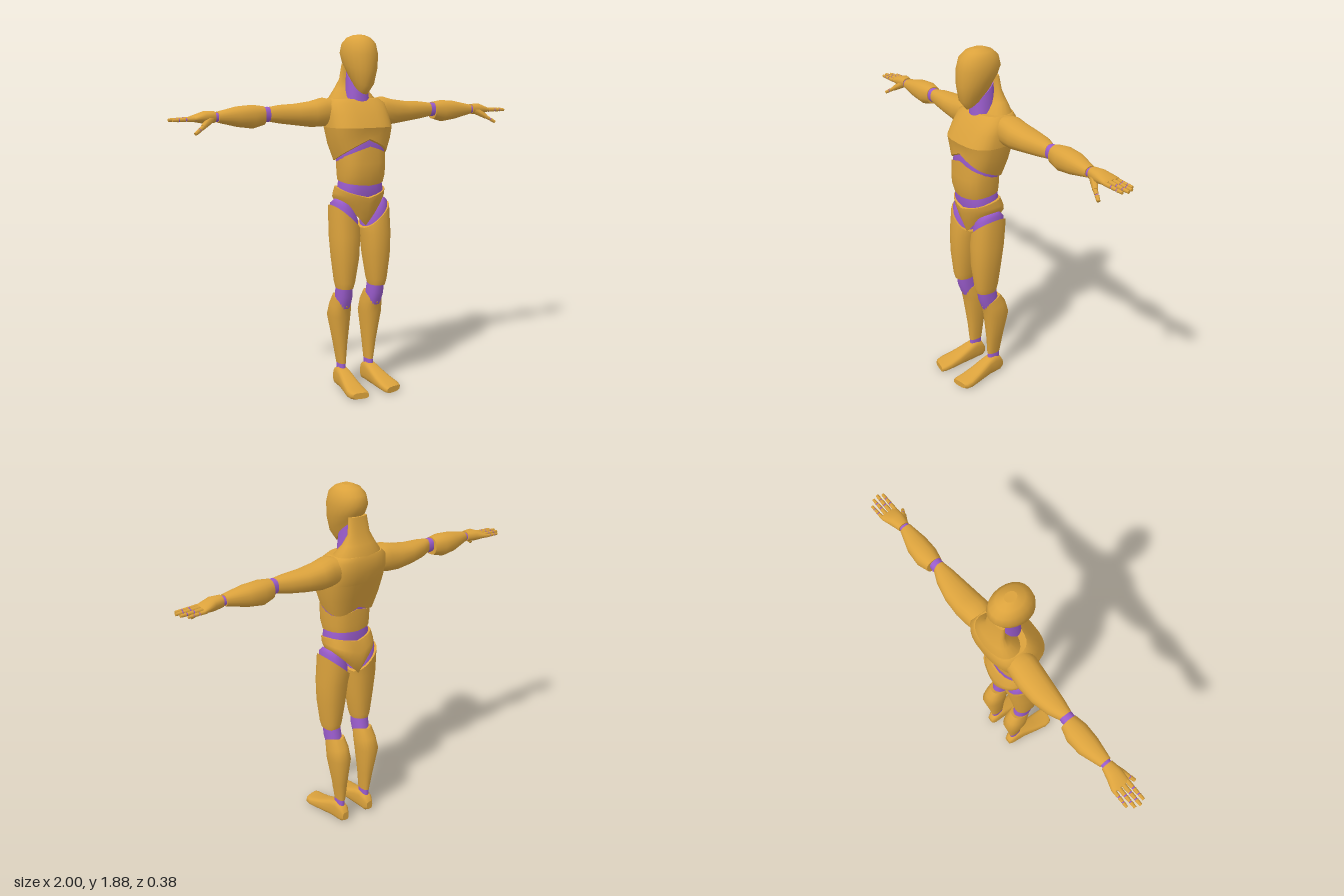
import * as THREE from 'three';

const gold = new THREE.MeshStandardMaterial({ name: 'gold', color: 0xdba23c });
const purple = new THREE.MeshStandardMaterial({ name: 'purple', color: 0x9a5ccc });

// Axis order for the two cross-section directions (a, b) around the length t.
const AXES = {
  x: (t, a, b) => [t, b, a], // a = z, b = y
  y: (t, a, b) => [a, t, b], // a = x, b = z
  z: (t, a, b) => [b, a, t], // a = y, b = x
};

// Closed loft through rings [t, aMin, aMax, bMin, bMax, slopeA, slopeB, bend], ascending t.
// Slopes tilt a ring; bend lifts its two a-sides relative to the middle.
function loft(axis, rings, power = 2.3, sides = 20) {
  const pos = [], index = [], loops = [];
  const curve = (v) => Math.sign(v) * Math.abs(v) ** (2 / power);
  for (const [t, a0, a1, b0, b1, slopeA = 0, slopeB = 0, bend = 0] of rings) {
    const loop = [];
    for (let j = 0; j < sides; j++) {
      const ang = (j / sides) * Math.PI * 2;
      const u = curve(Math.cos(ang)), v = curve(Math.sin(ang));
      const da = (u * (a1 - a0)) / 2, db = (v * (b1 - b0)) / 2;
      loop.push(AXES[axis](t + slopeA * da + slopeB * db + bend * Math.abs(u), (a0 + a1) / 2 + da, (b0 + b1) / 2 + db));
    }
    loops.push(loop);
    pos.push(...loop.flat());
  }
  for (let i = 0; i < rings.length - 1; i++) {
    for (let j = 0; j < sides; j++) {
      const p = i * sides + j, q = i * sides + ((j + 1) % sides);
      index.push(p, p + sides, q, q, p + sides, q + sides);
    }
  }
  // End caps with their own vertices, so their rims stay sharp
  [loops[0], loops[loops.length - 1]].forEach((loop, end) => {
    const start = pos.length / 3;
    pos.push(...loop.flat());
    pos.push(...[0, 1, 2].map((k) => loop.reduce((s, p) => s + p[k], 0) / sides));
    for (let j = 0; j < sides; j++) {
      const p = start + j, q = start + ((j + 1) % sides);
      index.push(start + sides, ...(end ? [q, p] : [p, q]));
    }
  });
  const geo = new THREE.BufferGeometry();
  geo.setAttribute('position', new THREE.Float32BufferAttribute(pos, 3));
  geo.setIndex(index);
  geo.computeVertexNormals();
  return geo;
}

// Tapered rod between two points
function rod(p, q, r0, r1) {
  const dir = q.clone().sub(p);
  const geo = new THREE.CylinderGeometry(r1, r0, dir.length(), 8);
  geo.applyQuaternion(new THREE.Quaternion().setFromUnitVectors(new THREE.Vector3(0, 1, 0), dir.normalize()));
  const mid = p.clone().add(q).multiplyScalar(0.5);
  return geo.translate(mid.x, mid.y, mid.z);
}

function mirrored(geo) {
  const copy = geo.clone().scale(-1, 1, 1);
  const idx = copy.index.array;
  for (let i = 0; i < idx.length; i += 3) [idx[i], idx[i + 1]] = [idx[i + 1], idx[i]];
  return copy;
}

export function createModel() {
  const model = new THREE.Group();
  model.name = 'jointedFigure';
  const add = (name, geo, mat = gold) => {
    const mesh = new THREE.Mesh(geo, mat);
    mesh.name = name;
    model.add(mesh);
  };
  const pair = (name, geo, mat = gold) => {
    add(name + 'Left', geo, mat);
    add(name + 'Right', mirrored(geo), mat);
  };

  // Head and neck
  add('head', loft('y', [
    [1.645, -0.04, 0.04, -0.1, 0.055, 0, -0.8], [1.68, -0.064, 0.064, -0.105, 0.09, 0, -0.55],
    [1.73, -0.082, 0.082, -0.118, 0.103, 0, -0.2], [1.79, -0.09, 0.09, -0.136, 0.1, 0, -0.05],
    [1.84, -0.081, 0.081, -0.124, 0.085], [1.87, -0.058, 0.058, -0.09, 0.05], [1.884, -0.025, 0.025, -0.05, 0.012],
  ], 2.1));
  add('neck', loft('y', [
    [1.48, -0.066, 0.066, -0.1, 0.028], [1.57, -0.06, 0.06, -0.1, 0.022],
    [1.67, -0.05, 0.05, -0.1, 0.02, 0, -0.8],
  ]), purple);
  add('upperBack', loft('y', [
    [1.5, -0.155, 0.155, -0.184, 0.01], [1.56, -0.13, 0.13, -0.176, -0.02], [1.61, -0.092, 0.092, -0.158, -0.06],
    [1.66, -0.064, 0.064, -0.134, -0.085], [1.74, -0.055, 0.055, -0.118, -0.08],
  ]));

  // Torso: the doubled ring makes the sharp edge under the chest
  add('chest', loft('y', [
    [1.315, -0.135, 0.135, -0.115, 0.1, 0, 0.4, -0.055], [1.36, -0.163, 0.163, -0.138, 0.1, 0, 0.2, -0.02],
    [1.415, -0.175, 0.175, -0.165, 0.108], [1.415, -0.175, 0.175, -0.165, 0.108],
    [1.48, -0.172, 0.172, -0.186, 0.075], [1.535, -0.165, 0.165, -0.184, 0.035], [1.56, -0.135, 0.135, -0.175, 0.01],
  ], 2.8, 28));
  add('ribJoint', loft('y', [
    [1.2, -0.115, 0.115, -0.095, 0.085], [1.28, -0.128, 0.128, -0.104, 0.096, 0, 0.3, -0.03],
    [1.33, -0.125, 0.125, -0.1, 0.09, 0, 0.4, -0.055],
  ], 2.6), purple);
  add('abdomen', loft('y', [
    [1.125, -0.118, 0.118, -0.104, 0.092, 0, -0.1, 0.01], [1.17, -0.124, 0.124, -0.106, 0.106],
    [1.23, -0.127, 0.127, -0.106, 0.108], [1.288, -0.127, 0.127, -0.106, 0.104, 0, 0.3, -0.035],
  ], 2.6));
  add('waistJoint', loft('y', [
    [1.03, -0.118, 0.118, -0.1, 0.075], [1.09, -0.121, 0.121, -0.103, 0.088], [1.14, -0.112, 0.112, -0.1, 0.085],
  ], 2.6), purple);
  add('pelvis', loft('y', [
    [0.9, -0.13, 0.13, -0.115, 0.055, 0, 0, 0.14], [0.955, -0.136, 0.136, -0.138, 0.075, 0, 0, 0.1],
    [1.02, -0.137, 0.137, -0.134, 0.09, 0, 0, 0.05], [1.065, -0.134, 0.134, -0.112, 0.092, 0, -0.15, 0.035],
  ], 2.4, 28));

  // Legs
  pair('hipJoint', loft('y', [
    [0.9, 0.022, 0.155, -0.1, 0.065, 0.8], [0.975, 0.025, 0.155, -0.1, 0.065, 0.8], [1.01, 0.04, 0.135, -0.08, 0.045, 0.7],
  ]), purple);
  pair('thigh', loft('y', [
    [0.565, 0.056, 0.14, -0.058, 0.056], [0.6, 0.047, 0.148, -0.068, 0.066], [0.73, 0.025, 0.164, -0.084, 0.081],
    [0.85, 0.016, 0.17, -0.1, 0.083], [0.945, 0.014, 0.166, -0.112, 0.074, 0.9],
  ]));
  pair('kneeJoint', loft('y', [
    [0.45, 0.055, 0.133, -0.085, 0.015], [0.52, 0.053, 0.137, -0.07, 0.042], [0.6, 0.058, 0.136, -0.055, 0.05],
  ]), purple);
  pair('shin', loft('y', [
    [0.13, 0.066, 0.106, -0.104, -0.026], [0.24, 0.056, 0.124, -0.118, -0.018], [0.4, 0.039, 0.154, -0.142, 0.002],
    [0.46, 0.042, 0.148, -0.122, 0.014, 0, -0.15], [0.49, 0.05, 0.14, -0.088, 0.022, 0, -0.45, 0.02],
  ]));
  pair('ankleJoint', loft('y', [[0.07, 0.066, 0.108, -0.1, -0.025], [0.15, 0.068, 0.104, -0.1, -0.03]]), purple);
  pair('foot', loft('z', [
    [-0.12, 0.012, 0.06, 0.066, 0.106], [-0.1, 0, 0.095, 0.055, 0.116], [-0.06, 0, 0.112, 0.053, 0.122],
    [-0.02, 0, 0.104, 0.05, 0.126], [0.07, 0, 0.066, 0.048, 0.146], [0.13, 0, 0.048, 0.048, 0.158],
    [0.165, 0, 0.042, 0.05, 0.154, 0, -0.1], [0.182, 0.004, 0.037, 0.057, 0.142, 0, -0.2],
  ], 3));

  // Arms (ring order: x, z range, y range)
  pair('upperArm', loft('x', [
    [0.12, -0.15, -0.02, 1.43, 1.555], [0.18, -0.16, -0.012, 1.418, 1.566], [0.24, -0.164, -0.016, 1.416, 1.55],
    [0.33, -0.16, -0.026, 1.428, 1.538], [0.42, -0.14, -0.038, 1.44, 1.534], [0.482, -0.112, -0.05, 1.452, 1.526],
  ]));
  pair('elbowJoint', loft('x', [
    [0.45, -0.11, -0.054, 1.458, 1.52], [0.49, -0.116, -0.05, 1.45, 1.527], [0.54, -0.112, -0.05, 1.455, 1.522],
  ]), purple);
  pair('forearm', loft('x', [
    [0.51, -0.132, -0.045, 1.436, 1.53], [0.57, -0.15, -0.033, 1.42, 1.538], [0.65, -0.146, -0.035, 1.431, 1.532],
    [0.755, -0.112, -0.05, 1.456, 1.51],
  ]));
  pair('wristJoint', loft('x', [[0.74, -0.106, -0.056, 1.46, 1.505], [0.79, -0.106, -0.056, 1.46, 1.503]]), purple);
  pair('palm', loft('x', [
    [0.77, -0.112, -0.052, 1.456, 1.512], [0.82, -0.126, -0.044, 1.452, 1.514], [0.87, -0.143, -0.046, 1.462, 1.495],
    [0.885, -0.142, -0.05, 1.466, 1.488],
  ]));

  // Fingers: a purple core with three gold segments; [base, tip, radius]
  const digits = [
    ['indexFinger', [0.87, 1.477, -0.057], [0.988, 1.475, -0.055], 0.0105],
    ['middleFinger', [0.875, 1.478, -0.082], [1, 1.476, -0.081], 0.011],
    ['ringFinger', [0.875, 1.477, -0.107], [0.992, 1.475, -0.108], 0.0105],
    ['littleFinger', [0.87, 1.475, -0.132], [0.968, 1.472, -0.135], 0.0095],
    ['thumb', [0.8, 1.468, -0.055], [0.892, 1.41, -0.012], 0.012],
  ];
  for (const [name, from, to, r] of digits) {
    const base = new THREE.Vector3(...from), tip = new THREE.Vector3(...to);
    const at = (k) => base.clone().lerp(tip, k);
    pair(name + 'Core', rod(at(0), at(0.96), r * 0.85, r * 0.65), purple);
    [[0.06, 0.4], [0.46, 0.7], [0.75, 1]].forEach(([s, e], i) => {
      pair(`${name}Segment${i + 1}`, rod(at(s), at(e), r * (1.1 - s * 0.3), r * (1.1 - e * 0.4)));
    });
  }
  pair('thumbBase', rod(new THREE.Vector3(0.79, 1.478, -0.07), new THREE.Vector3(0.845, 1.44, -0.034), 0.022, 0.013));
  return model;
}
